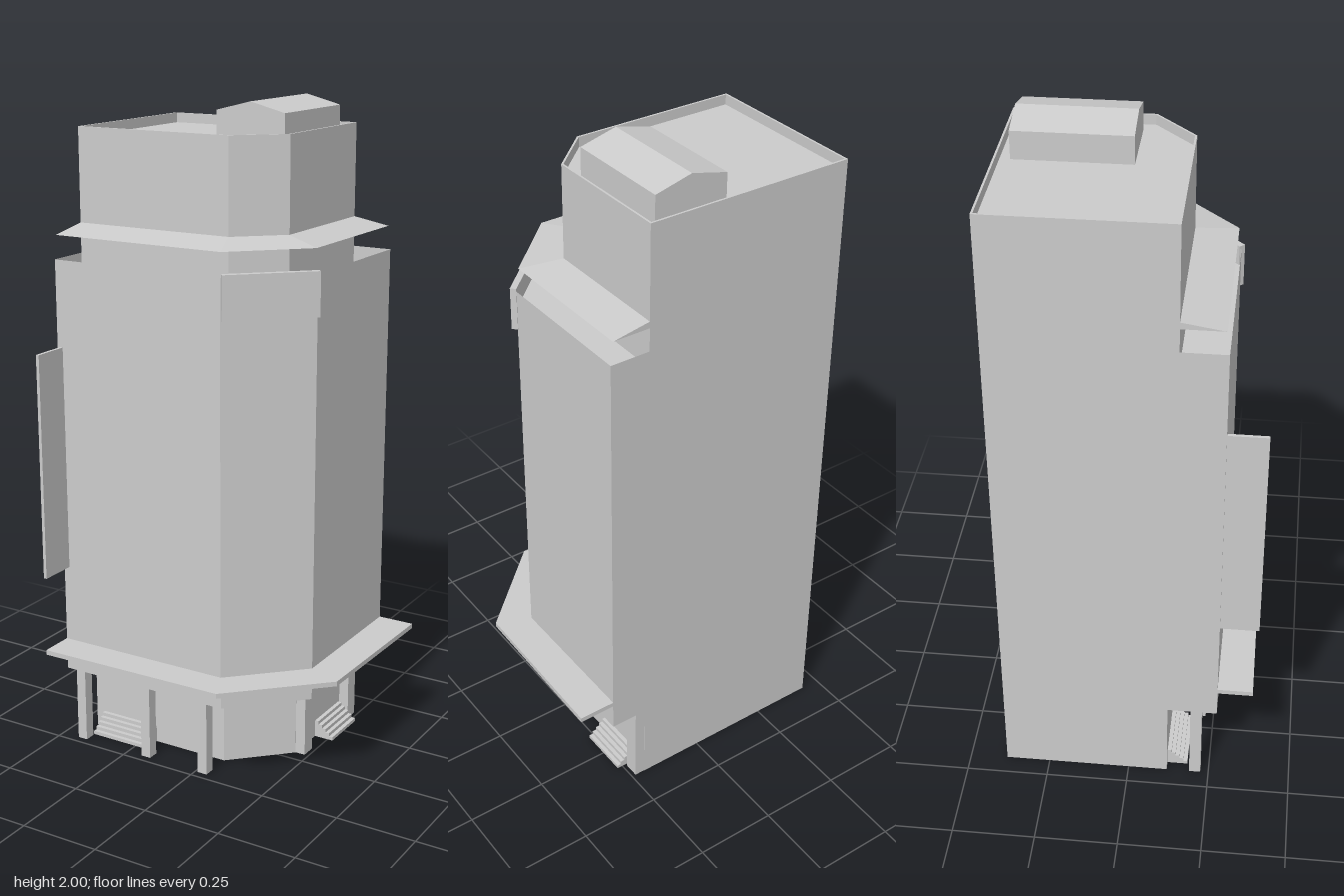
import * as THREE from 'three';

const mat = new THREE.MeshStandardMaterial({ color: 0xcccccc, flatShading: true, side: THREE.DoubleSide });

// Plan outlines as [x, z], running from the left end of the front round the cut corner to the back
const bodyPlan = [[-0.44, 0.27], [0.12, 0.27], [0.32, 0.075], [0.32, -0.385]];
const towerPlan = [[-0.44, 0.14], [0.07, 0.14], [0.198, 0.02], [0.198, -0.385]];
const basePlan = [[-0.44, 0.12], [0.04, 0.12], [0.205, -0.04], [0.205, -0.385]];
const backCorner = [-0.44, -0.385];

function toShape(pts) {
  return new THREE.Shape(pts.map(([x, z]) => new THREE.Vector2(x, -z)));
}

// Upright prism from a plan outline, optionally hollow
function prism(pts, y0, y1, hole) {
  const shape = toShape(pts);
  if (hole) shape.holes.push(toShape(hole));
  const g = new THREE.ExtrudeGeometry(shape, { depth: y1 - y0, bevelEnabled: false });
  return g.rotateX(-Math.PI / 2).translate(0, y0, 0);
}

// Ruled surface between two plan lines at given heights
function ruled(a, ya, b, yb) {
  const pos = [];
  for (let i = 0; i + 1 < a.length; i++) {
    const p = [a[i][0], ya, a[i][1]], q = [a[i + 1][0], ya, a[i + 1][1]];
    const r = [b[i + 1][0], yb, b[i + 1][1]], s = [b[i][0], yb, b[i][1]];
    pos.push(...p, ...q, ...r, ...p, ...r, ...s);
  }
  const g = new THREE.BufferGeometry();
  g.setAttribute('position', new THREE.Float32BufferAttribute(pos, 3));
  g.computeVertexNormals();
  return g;
}

// Box given by its limits on each axis
function box(x0, x1, y0, y1, z0, z1) {
  return new THREE.BoxGeometry(x1 - x0, y1 - y0, z1 - z0)
    .translate((x0 + x1) / 2, (y0 + y1) / 2, (z0 + z1) / 2);
}

export function createModel() {
  const model = new THREE.Group();
  model.name = 'cornerBuilding';
  const add = (name, geometry, parent = model) => {
    const mesh = new THREE.Mesh(geometry, mat);
    mesh.name = name;
    parent.add(mesh);
    return mesh;
  };

  // Recessed ground floor: walls only, open underneath
  const baseLoop = [...basePlan, backCorner, basePlan[0]];
  add('groundFloorWalls', ruled(baseLoop, 0, baseLoop, 0.26));

  // Main block, with a thin parapet round its setback terrace
  const deckY = 1.5, parapetY = 1.55;
  add('mainBlock', prism([...bodyPlan, backCorner], 0.26, deckY));
  const rim = [towerPlan[0], ...bodyPlan, towerPlan[3]];
  add('terraceParapet', ruled(rim, deckY, rim, parapetY));

  // Upper storeys with a sunken flat roof
  const roofY = 1.89, topY = 1.92;
  const towerOutline = [...towerPlan, backCorner];
  add('upperStoreys', prism(towerOutline, deckY, roofY));
  const inner = [[-0.434, 0.134], [0.068, 0.134], [0.192, 0.018], [0.192, -0.379], [-0.434, -0.379]];
  add('roofParapet', prism(towerOutline, roofY, topY, inner));

  // Gabled plant room on the roof
  const gable = new THREE.Shape();
  [[-0.064, roofY], [0.16, roofY], [0.16, 1.972], [0.048, 2], [-0.064, 1.972]]
    .forEach(([x, y], i) => (i ? gable.lineTo(x, y) : gable.moveTo(x, y)));
  add('plantRoom', new THREE.ExtrudeGeometry(gable, { depth: 0.335, bevelEnabled: false }).translate(0, 0, -0.35));

  // Sloping upper canopy with a level underside
  const eave = [[-0.44, 0.262], [0.118, 0.262], [0.312, 0.072], [0.312, -0.385]];
  const upper = new THREE.Group();
  upper.name = 'upperCanopy';
  model.add(upper);
  add('canopyTop', ruled(eave, 1.62, towerPlan, 1.64), upper);
  add('canopyUnderside', ruled(towerPlan, 1.62, eave, 1.62), upper);
  for (const i of [0, 3]) {
    const ends = [towerPlan[i], eave[i]];
    add('canopyEnd', ruled(ends, 1.62, [towerPlan[i], eave[i]], 1.62 + 0.0001), upper);
    const g = new THREE.BufferGeometry();
    const [t, e] = ends;
    g.setAttribute('position', new THREE.Float32BufferAttribute(
      [t[0], 1.62, t[1], e[0], 1.62, e[1], t[0], 1.64, t[1]], 3));
    g.computeVertexNormals();
    add('canopyEnd', g, upper);
  }

  // Flat street canopy wrapping the front and side
  const awning = [[-0.44, 0.376], [0.165, 0.37], [0.425, 0.118], [0.434, -0.385]];
  add('streetCanopy', prism([...awning, ...[...bodyPlan].reverse()], 0.345, 0.36));

  // Plain sign panel on the cut corner and blade sign on the front
  add('cornerPanel', prism([[0.12, 0.264], [0.132, 0.279], [0.334, 0.085], [0.322, 0.071]], 1.43, 1.56));
  add('bladePanel', box(-0.432, -0.422, 0.6, 1.29, 0.27, 0.385));

  // Columns carrying the overhang
  for (const x of [-0.424, -0.182, 0.025]) {
    add('frontColumn', box(x - 0.016, x + 0.016, 0, 0.26, 0.19, 0.225));
  }
  for (const z of [-0.065, -0.36]) {
    add('sideColumn', box(0.205, 0.237, 0, 0.26, z - 0.024, z + 0.024));
  }

  // Entrance steps on the front and the side
  const count = 5, rise = 0.011, tread = 0.0125;
  for (let i = 0; i < count; i++) {
    const reach = (count - i) * tread;
    add('frontStep', box(-0.41, -0.21, i * rise, (i + 1) * rise, 0.12, 0.12 + reach));
    add('sideStep', box(0.205, 0.205 + reach, i * rise, (i + 1) * rise, -0.33, -0.17));
  }

  return model;
}
